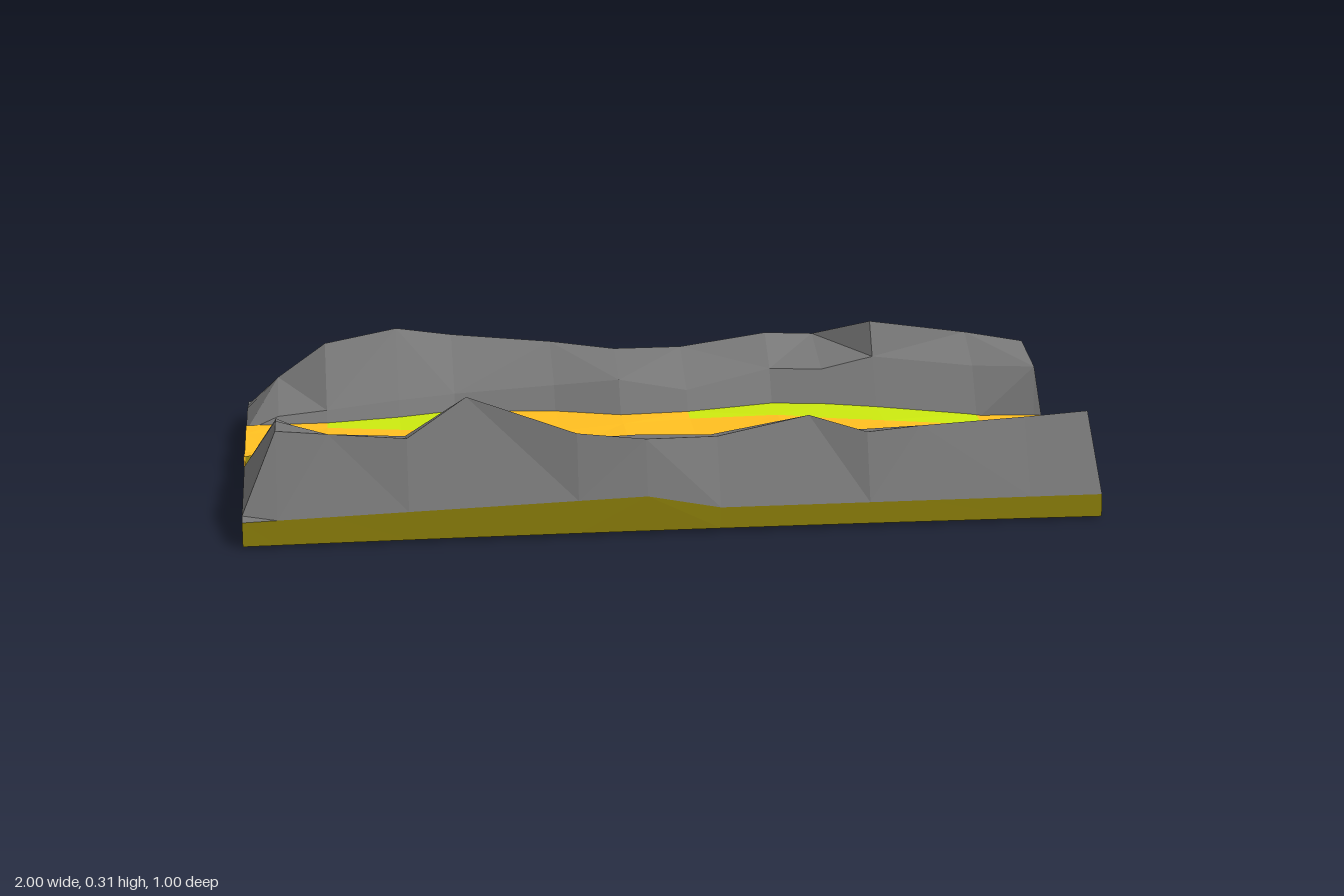
import * as THREE from 'three';

const { lerp } = THREE.MathUtils;

// Stations along the canyon
const xs = [-1, -.92, -.8, -.62, -.48, -.23, -.07, .1, .32, .45, .58, .83, .98, 1];
// Rock outlines per station: distance of the inner foot and of the crest from the middle
const frontFoot = [.12, .08, .03, .11, .13, .14, .15, .12, .14, .17, .17, .14, .21, .22];
const frontCrest = [.47, .39, .41, .43, .38, .45, .445, .41, .38, .43, .41, .4, .4, .4];
const backFoot = [.14, .14, .14, .17, .21, .18, .13, .14, .19, .17, .15, .12, .14, .14];
const backCrest = [.35, .35, .35, .365, .4, .38, .33, .33, .35, .4, .285, .3, .3, .3];
// Crest heights, and heights of the lip above the inner foot
const frontTop = [.07, .245, .24, .23, .31, .235, .215, .205, .24, .21, .215, .225, .235, .055];
const backTop = [.08, .16, .245, .275, .245, .225, .215, .215, .24, .22, .28, .24, .212, .055];
const frontLip = [.08, .21, .12, .12, .12, .12, .12, .13, .13, .12, .12, .12, .14, .055];
const backLip = [.08, .11, .12, .13, .13, .15, .17, .14, .17, .17, .2, .18, .185, .055];

// Height of the slab's front edge: it climbs to the middle, then drops
const rim = (x) => (x < .09 ? lerp(.06, .09, (x + 1) / .93) : .057);
// The lip stands a little behind the foot of its wall
const lipZ = (foot, y, slope) => foot + (y - .055) * slope;

// Flat-shaded skin over cross-sections [x, [z, y], ...] that run from front to back;
// keep(i, j) chooses which cells are drawn
function loft(name, color, sections, { ring = false, keep = () => true } = {}) {
  const pos = [];
  const n = sections[0].length - 1;
  const point = (i, j) => {
    const [z, y] = sections[i][1 + (j % n)];
    return [sections[i][0], y, z];
  };
  for (let i = 0; i < sections.length - 1; i++) {
    for (let j = 0; j < (ring ? n : n - 1); j++) {
      if (!keep(i, j)) continue;
      const a = point(i, j), b = point(i + 1, j), c = point(i + 1, j + 1), d = point(i, j + 1);
      // alternate the diagonal for broken facets
      if ((i + j) % 2) pos.push(...a, ...b, ...c, ...a, ...c, ...d);
      else pos.push(...a, ...b, ...d, ...b, ...c, ...d);
    }
  }
  // end caps of a closed ring
  if (ring) {
    const last = sections.length - 1;
    for (let j = 1; j < n - 1; j++) {
      pos.push(...point(0, 0), ...point(0, j), ...point(0, j + 1));
      pos.push(...point(last, 0), ...point(last, j + 1), ...point(last, j));
    }
  }
  const geo = new THREE.BufferGeometry();
  geo.setAttribute('position', new THREE.Float32BufferAttribute(pos, 3));
  geo.computeVertexNormals();
  const mat = new THREE.MeshStandardMaterial({ color, flatShading: true, side: THREE.DoubleSide });
  const mesh = new THREE.Mesh(geo, mat);
  mesh.name = name;
  return mesh;
}

// Front rocks: steep outer wall, crest, then a gentle uneven slope down to the path
const frontSections = xs.map((x, i) => {
  const lip = lipZ(frontFoot[i], frontLip[i], .6);
  const rough = .5 + .12 * Math.sin(i * 2.3);
  return [x,
    [.49, rim(x)],
    [frontCrest[i], frontTop[i]],
    [lerp(frontCrest[i], lip, rough), lerp(frontTop[i], frontLip[i], .4)],
    [lip, frontLip[i]],
    [frontFoot[i], .06]];
});

// Back rocks: inner foot, lip, crest, outer shoulder, outer foot
const backSections = xs.map((x, i) => [x,
  [-backFoot[i], .06],
  [-lipZ(backFoot[i], backLip[i], x > .9 ? .1 : .6), backLip[i]],
  [-backCrest[i], backTop[i]],
  [i % 2 ? -.465 : -.45, Math.max(.055, backTop[i] * (x < -.2 ? .75 : .68))],
  [-.497, .055]]);

// Path: its edges run a little under the rocks, its two inner lines meander
const pathSections = xs.map((x, i) => {
  const y = x > .5 ? lerp(.093, .06, (x - .5) * 2) : .093;
  const bend = Math.cos(2 * Math.PI * (x - .2));
  const dip = x < 1 ? (i % 2 ? .012 : .004) : 0;
  return [x,
    [frontFoot[i] + .03, x < -.9 ? .11 : y],
    [Math.min(frontFoot[i] - .01, .055 - .03 * bend), y - dip],
    [Math.max(.01 - backFoot[i], -.085 - .04 * bend), y - dip / 2],
    [-backFoot[i] - .02, y]];
});
// closing face at the start of the path
const [pathStart, ...startPoints] = pathSections[0];
pathSections.unshift([pathStart, ...startPoints.map(([z]) => [z, .05])]);

// Grassy cells along the front (strip 0) and back (strip 2) of the path
const grass = { 0: [3, 4, 9, 10], 2: [3, 4, 8, 9, 10, 11] };
const isGrass = (i, j) => (grass[j] || []).includes(i);

// Slab: front bottom, front rim, flat top, back bottom
const slabSections = xs.map((x) => [x,
  [.495, .008 - .004 * x * x], [.49, rim(x)], [.4, .055], [-.497, .055], [-.5, 0]]);

export function createModel() {
  const group = new THREE.Group();
  group.name = 'rockyCanyon';
  group.add(
    loft('groundSlab', 0x8a7d0a, slabSections, { ring: true }),
    loft('frontRocks', 0x777777, frontSections),
    loft('backRocks', 0x777777, backSections),
    loft('sandPath', 0xffbf20, pathSections, { keep: (i, j) => !isGrass(i, j) }),
    loft('grassPatches', 0xcbe80f, pathSections, { keep: isGrass }),
  );
  return group;
}
